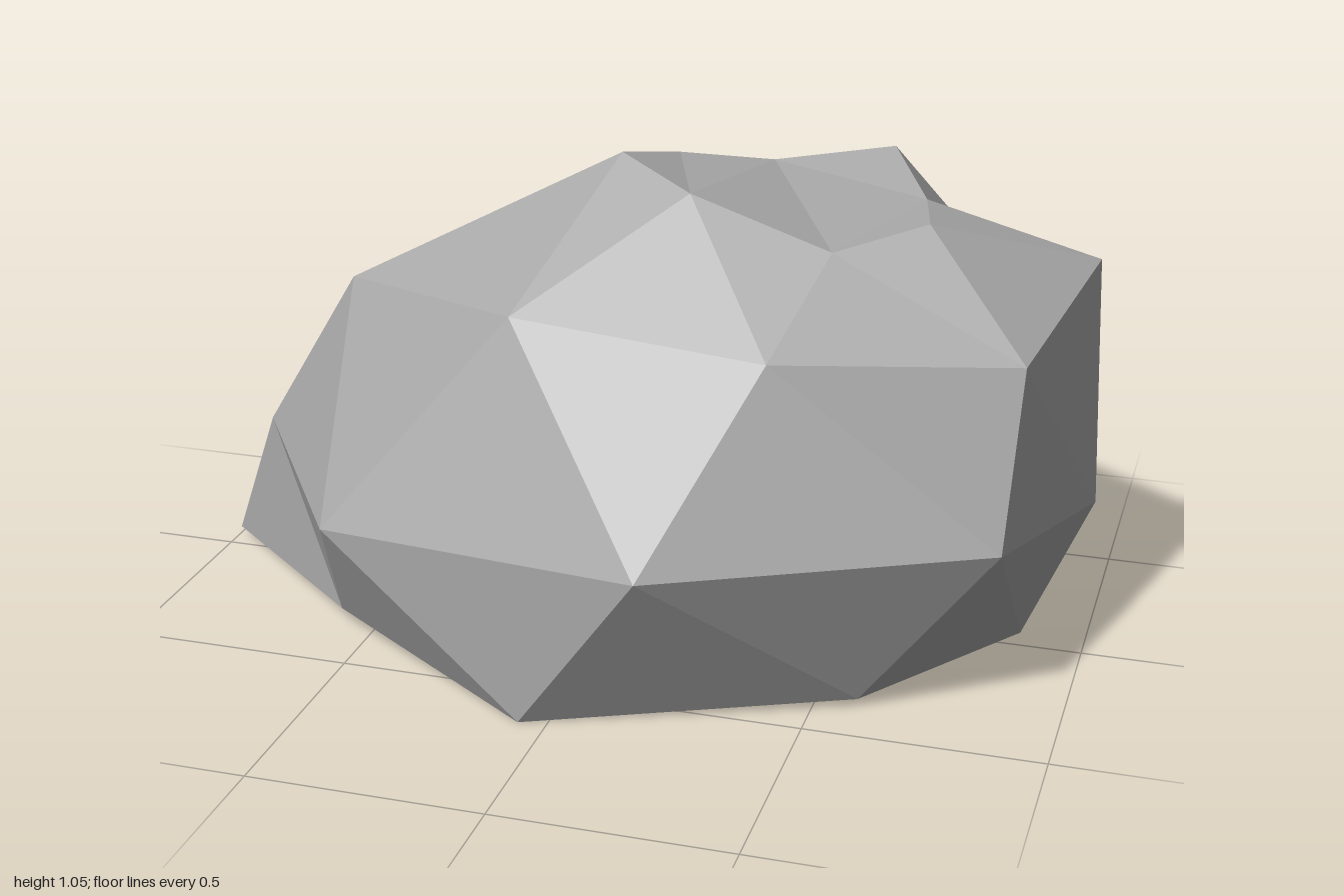
import * as THREE from 'three';

// Cross-sections of the boulder, each running from the right side (-x) round the front
const rings = [
  // base outline
  [[-1, 0.015, -0.06], [-0.575, 0.04, 0.33], [-0.06, 0, 0.64], [0.59, 0.02, 0.38],
    [0.865, 0.02, -0.02], [0.575, 0.075, -0.415], [-0.03, 0.035, -0.665], [-0.64, 0.07, -0.44]],
  // widest girth
  [[-0.86, 0.345, 0.03], [-0.54, 0.31, 0.505], [0.21, 0.38, 0.72], [0.87, 0.38, 0.385],
    [1, 0.32, -0.085], [0.78, 0.37, -0.615], [-0.055, 0.455, -0.725], [-0.7, 0.37, -0.49]],
  // shoulder
  [[-0.61, 0.735, 0.11], [-0.15, 0.785, 0.4], [0.395, 0.75, 0.43], [0.88, 0.73, 0.245],
    [0.97, 0.835, -0.17], [0.68, 0.72, -0.5], [0.04, 0.835, -0.555], [-0.47, 0.66, -0.35]],
  // rim of the hollow on top
  [[-0.012, 1.05, 0.057], [0.165, 1.005, 0.165], [0.47, 0.915, 0.193], [0.647, 0.957, 0.08],
    [0.61, 0.96, -0.083], [0.508, 1.022, -0.253], [0.255, 0.987, -0.195], [0.055, 1.0, -0.15]],
];

// Facets whose dividing edge runs the other way, per band
const flipped = [[7], [4, 6], [6, 7]];

function rockGeometry() {
  const n = 8;
  const index = [];

  // side bands between neighbouring rings
  for (let r = 0; r < rings.length - 1; r++) {
    for (let k = 0; k < n; k++) {
      const next = (k + 1) % n;
      const a = r * n + k, b = r * n + next;
      const c = (r + 1) * n + next, d = (r + 1) * n + k;
      if (flipped[r].includes(k)) index.push(a, b, c, a, c, d);
      else index.push(a, b, d, b, c, d);
    }
  }

  // underside fan
  for (let k = 1; k < n - 1; k++) index.push(0, k + 1, k);

  // hollow on top
  const top = 3 * n;
  const hollow = [[0, 1, 7], [1, 6, 7], [1, 2, 6], [2, 4, 6], [2, 3, 4], [4, 5, 6]];
  for (const tri of hollow) index.push(...tri.map((i) => top + i));

  const indexed = new THREE.BufferGeometry();
  indexed.setAttribute('position', new THREE.Float32BufferAttribute(rings.flat(2), 3));
  indexed.setIndex(index);
  const geometry = indexed.toNonIndexed();
  geometry.computeVertexNormals();
  return geometry;
}

export function createModel() {
  const stone = new THREE.MeshStandardMaterial({ color: 0xa6a6a6, flatShading: true });
  stone.name = 'stone grey';

  const boulder = new THREE.Mesh(rockGeometry(), stone);
  boulder.name = 'boulder';

  const group = new THREE.Group();
  group.name = 'rock';
  group.add(boulder);
  return group;
}
